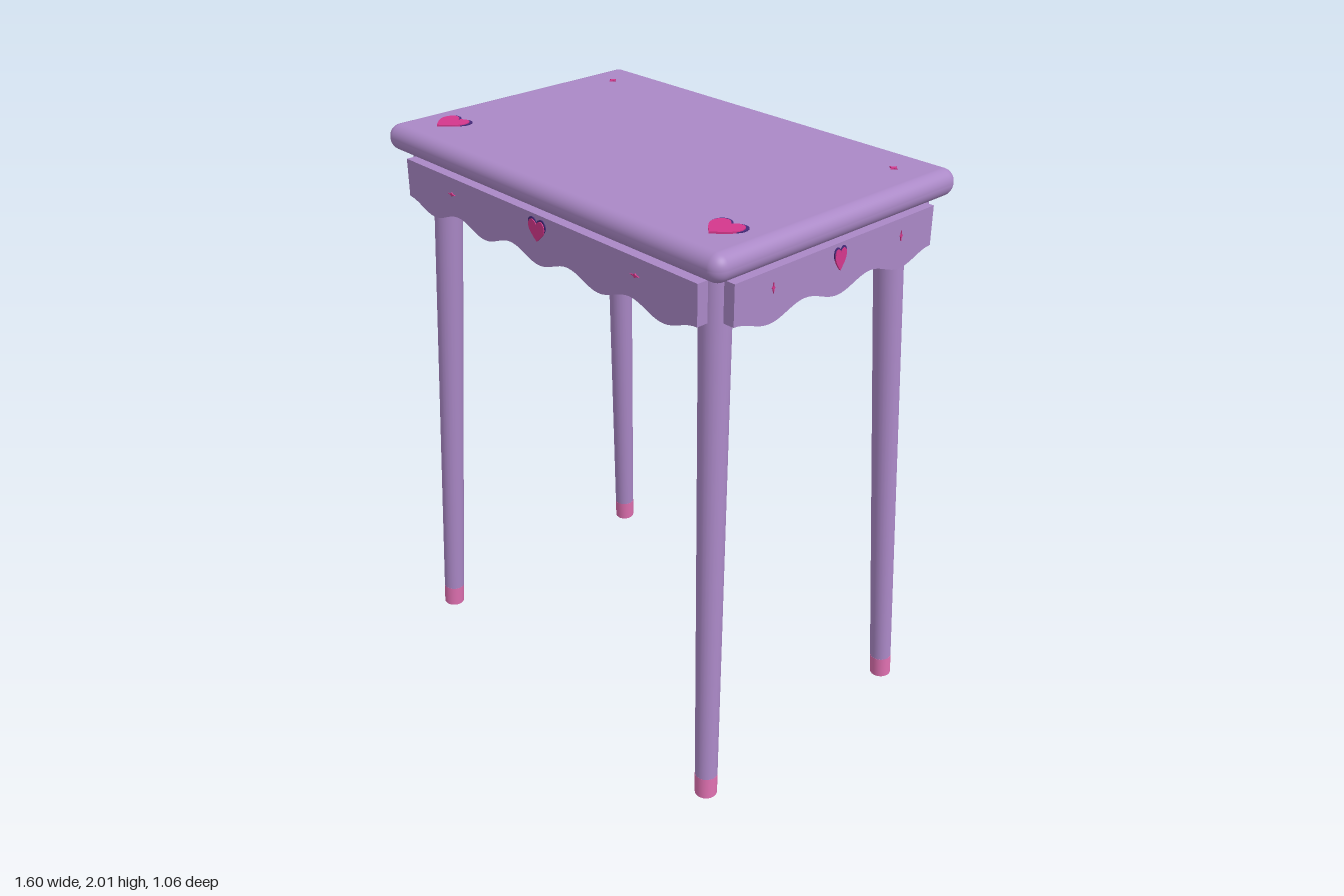
import * as THREE from 'three';
import { RoundedBoxGeometry } from 'three/addons/geometries/RoundedBoxGeometry.js';
import { toCreasedNormals } from 'three/addons/utils/BufferGeometryUtils.js';

const material = (name, color) => {
  const m = new THREE.MeshStandardMaterial({ color });
  m.name = name;
  return m;
};

export function createModel() {
  const lilac = material('lilac', 0xaa88c6);
  const pink = material('pink', 0xde70b0);
  const magenta = material('magenta', 0xd4378c);
  const darkViolet = material('dark violet', 0x452a7a);

  const table = new THREE.Group();
  table.name = 'sideTable';

  const add = (parent, name, geometry, mat, x = 0, y = 0, z = 0) => {
    const mesh = new THREE.Mesh(geometry, mat);
    mesh.name = name;
    mesh.position.set(x, y, z);
    parent.add(mesh);
    return mesh;
  };

  const plate = (shape, depth) =>
    new THREE.ExtrudeGeometry(shape, { depth, bevelEnabled: false, curveSegments: 10 });

  // Heart outline centred on the origin, w wide and h high
  const heart = (w, h) => {
    const a = w / 2, b = h / 2;
    const s = new THREE.Shape();
    s.moveTo(0, -b);
    s.bezierCurveTo(a * 0.45, -b * 0.55, a, -b * 0.1, a, b * 0.4);
    s.bezierCurveTo(a, b * 1.2, a * 0.25, b * 1.2, 0, b * 0.65);
    s.bezierCurveTo(-a * 0.25, b * 1.2, -a, b * 1.2, -a, b * 0.4);
    s.bezierCurveTo(-a, -b * 0.1, -a * 0.45, -b * 0.55, 0, -b);
    return s;
  };

  // Small four-pointed sparkle
  const sparkle = (w, h) => {
    const pts = [];
    for (let i = 0; i < 8; i++) {
      const r = i % 2 ? 0.22 : 0.5, t = (i * Math.PI) / 4;
      pts.push(new THREE.Vector2(Math.cos(t) * r * w, Math.sin(t) * r * h));
    }
    return new THREE.Shape(pts);
  };

  // Pink heart over a slightly larger dark one that peeks out behind its lobes
  const addHeart = (parent, w, h, x, y, z) => {
    const g = new THREE.Group();
    g.name = 'heart';
    add(g, 'heartShadow', plate(heart(w, h * 0.92), 0.003), darkViolet, 0, h * 0.04);
    add(g, 'heartFace', plate(heart(w * 0.9, h * 0.92), 0.006), magenta, 0, -h * 0.04);
    g.position.set(x, y, z);
    parent.add(g);
    return g;
  };

  // Rounded tabletop
  add(table, 'tabletop', new RoundedBoxGeometry(1.598, 0.09, 1.062, 6, 0.043), lilac, 0, 1.955, 0);

  // Tabletop decoration
  for (const s of [-1, 1]) {
    addHeart(table, 0.124, 0.114, s * 0.65, 2, 0.362).rotation.x = -Math.PI / 2;
    add(table, 'topSparkle', plate(sparkle(0.032, 0.032), 0.004), magenta,
      s * 0.66, 2, -0.375).rotation.x = -Math.PI / 2;
  }

  // Apron board with a scalloped lower edge
  const apron = (half, waves) => {
    const s = new THREE.Shape();
    s.moveTo(-half, 1.895);
    const n = waves * 16;
    for (let i = 0; i <= n; i++) {
      const x = -half + (2 * half * i) / n;
      s.lineTo(x, 1.745 - 0.018 * Math.cos((Math.PI * waves * x) / half));
    }
    s.lineTo(half, 1.895);
    return toCreasedNormals(plate(s, 0.04), 0.5);
  };

  const sides = [
    { name: 'frontApron', turn: 0, out: 0.513, half: 0.706, waves: 5, heartW: 0.085, dot: 0.45, dotSize: [0.04, 0.014] },
    { name: 'leftApron', turn: 1, out: 0.777, half: 0.441, waves: 3, heartW: 0.054, dot: 0.285, dotSize: [0.012, 0.034] },
    { name: 'backApron', turn: 2, out: 0.513, half: 0.706, waves: 5, heartW: 0.085, dot: 0.45, dotSize: [0.04, 0.014] },
    { name: 'rightApron', turn: 3, out: 0.777, half: 0.441, waves: 3, heartW: 0.054, dot: 0.285, dotSize: [0.012, 0.034] },
  ];
  for (const { name, turn, out, half, waves, heartW, dot, dotSize } of sides) {
    const g = new THREE.Group();
    g.name = name;
    g.rotation.y = (turn * Math.PI) / 2;
    add(g, 'apronBoard', apron(half, waves), lilac, 0, 0, out - 0.04);
    addHeart(g, heartW, 0.074, 0, 1.845, out);
    for (const s of [-1, 1]) {
      add(g, 'apronSparkle', plate(sparkle(...dotSize), 0.004), magenta, s * dot, 1.838, out);
    }
    table.add(g);
  }

  // Splayed, tapered legs with pink tips
  const up = new THREE.Vector3(0, 1, 0);
  const tipPart = 0.042;
  for (const sx of [-1, 1]) {
    for (const sz of [-1, 1]) {
      const foot = new THREE.Vector3(sx * 0.733, 0.003, sz * 0.465);
      const head = new THREE.Vector3(sx * 0.648, 1.912, sz * 0.384);
      const axis = head.clone().sub(foot);
      const length = axis.length();
      const leg = new THREE.Group();
      leg.name = (sz > 0 ? 'front' : 'back') + (sx > 0 ? 'Left' : 'Right') + 'Leg';
      leg.position.copy(foot);
      leg.quaternion.setFromUnitVectors(up, axis.normalize());
      const tip = length * tipPart, shaft = length - tip;
      add(leg, 'legShaft', new THREE.CylinderGeometry(0.051, 0.0385, shaft, 24), lilac, 0, tip + shaft / 2);
      add(leg, 'legTip', new THREE.CylinderGeometry(0.039, 0.038, tip, 24), pink, 0, tip / 2);
      table.add(leg);
    }
  }

  return table;
}
